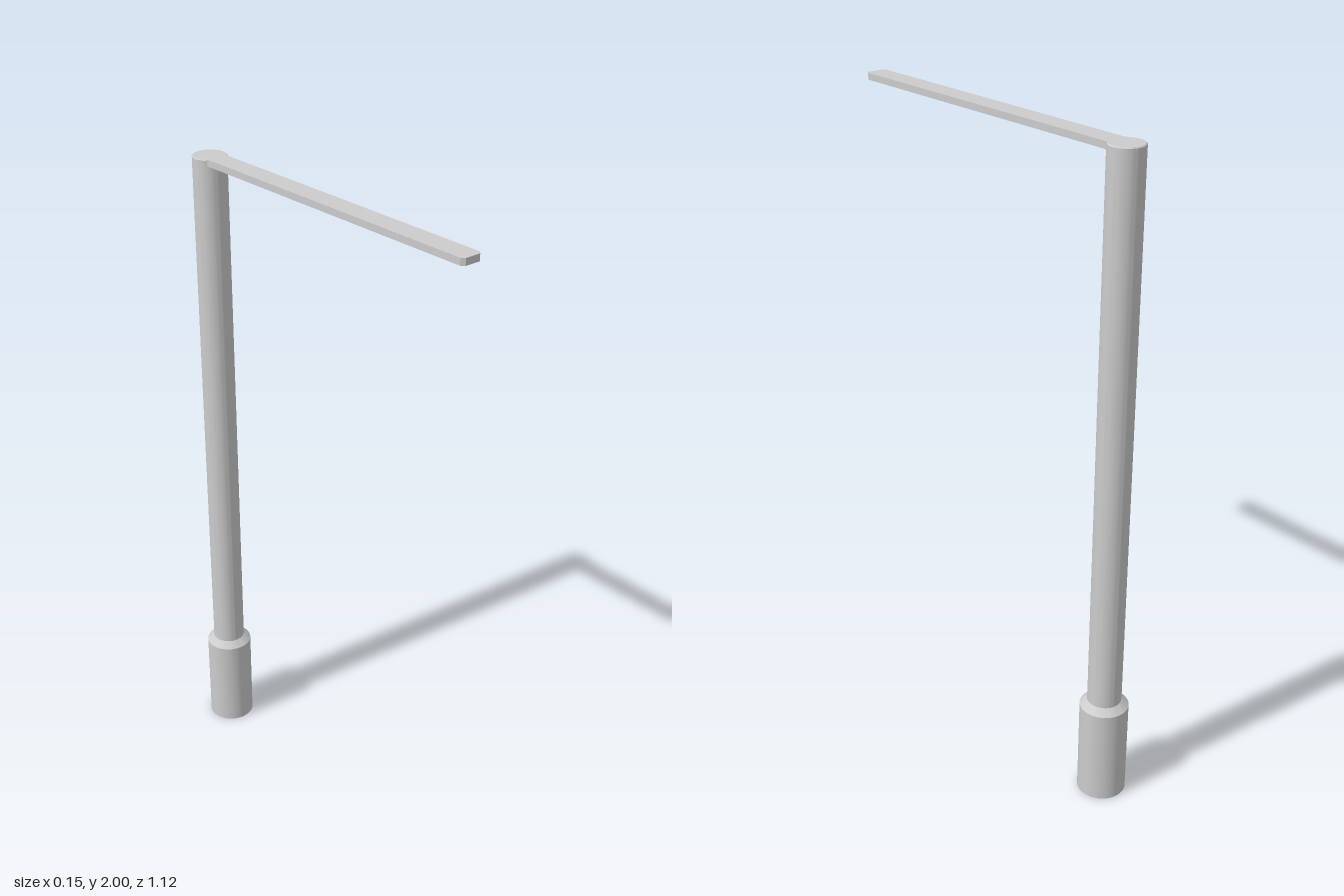
import * as THREE from 'three';
import { toCreasedNormals } from 'three/addons/utils/BufferGeometryUtils.js';

const POLE_Z = -0.487;
const HALF = 0.033; // half width of the arm

export function createModel() {
  const group = new THREE.Group();
  const material = new THREE.MeshStandardMaterial({ color: 0xcccccc });

  const add = (name, geometry) => {
    const mesh = new THREE.Mesh(toCreasedNormals(geometry, 0.5), material);
    mesh.name = name;
    group.add(mesh);
    return mesh;
  };

  // Turned part standing on the pole axis, profile given bottom to top
  const turned = (name, profile) => {
    const points = profile.map(([r, y]) => new THREE.Vector2(r, y));
    add(name, new THREE.LatheGeometry(points, 48)).position.z = POLE_Z;
  };

  // Flat plate: outline in x and z, extruded downwards from its top height
  const plate = (name, shape, top, thickness) => {
    const geometry = new THREE.ExtrudeGeometry(shape, { depth: thickness, bevelEnabled: false, curveSegments: 8 });
    geometry.rotateX(Math.PI / 2);
    add(name, geometry).position.y = top;
  };

  // Arm outline: flared where it meets the pole, clipped corners at the tip
  const armShape = () => {
    const s = new THREE.Shape();
    s.moveTo(-0.037, -0.453);
    s.lineTo(0.037, -0.453);
    s.quadraticCurveTo(HALF, -0.444, HALF, -0.43);
    s.lineTo(HALF, 0.55);
    s.lineTo(HALF - 0.009, 0.56);
    s.lineTo(-HALF + 0.009, 0.56);
    s.lineTo(-HALF, 0.55);
    s.lineTo(-HALF, -0.43);
    s.quadraticCurveTo(-HALF, -0.444, -0.037, -0.453);
    return s;
  };

  // Base sleeve with a sloped shoulder, and the round pole
  turned('base', [[0, 0], [0.073, 0], [0.073, 0.303], [0.052, 0.322], [0, 0.322]]);
  turned('pole', [[0, 0.3], [0.051, 0.3], [0.051, 1.997], [0.048, 2], [0, 2]]);

  // Arm: solid upper layer, lower layer with the lamp opening
  plate('armTop', armShape(), 2, 0.013);
  const lower = armShape();
  const opening = new THREE.Path();
  opening.moveTo(-0.022, 0.2);
  opening.lineTo(-0.022, 0.5);
  opening.lineTo(0.022, 0.5);
  opening.lineTo(0.022, 0.2);
  opening.closePath();
  lower.holes.push(opening);
  plate('armUnderside', lower, 1.987, 0.007);

  return group;
}
